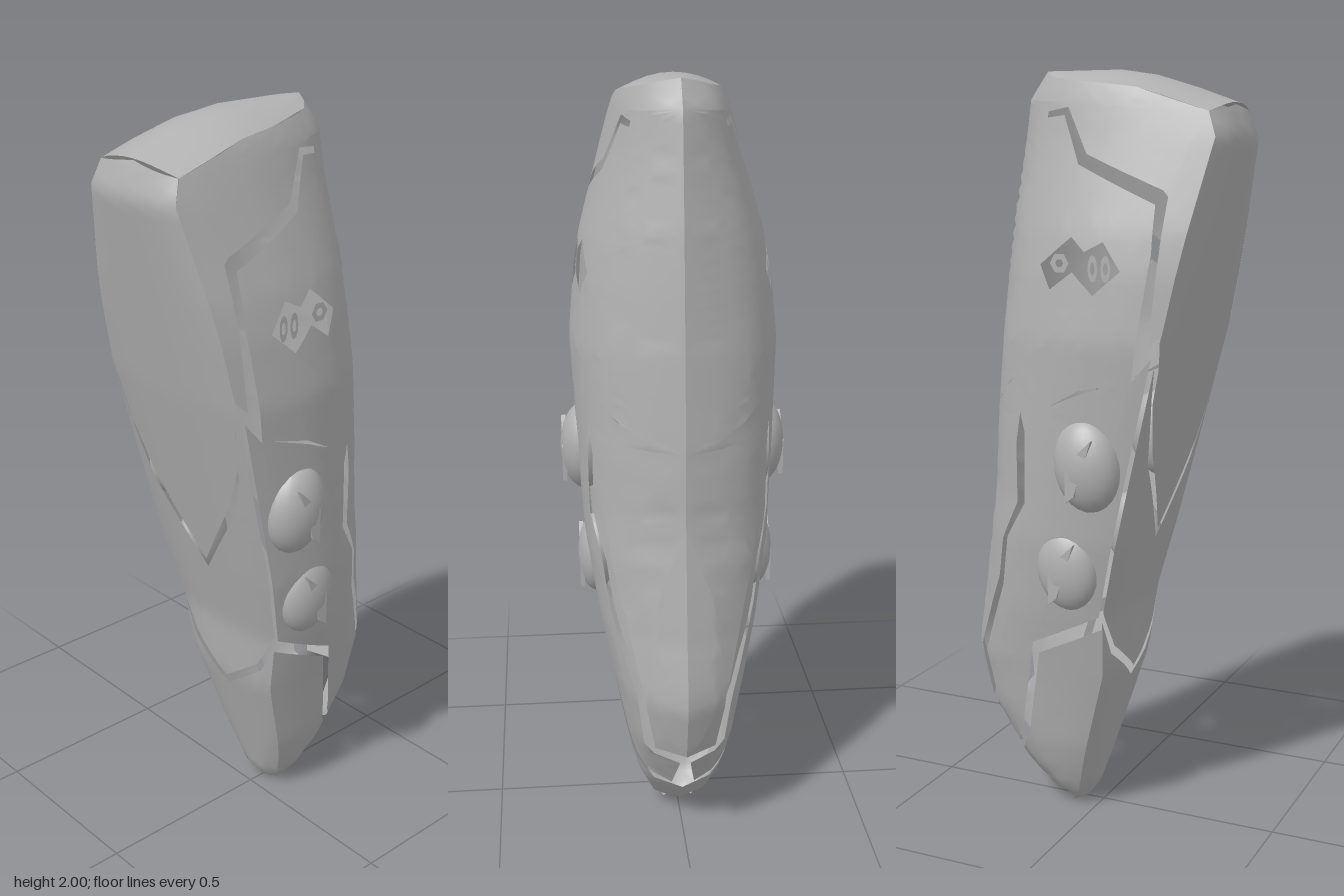
import * as THREE from 'three';
import { mergeVertices } from 'three/addons/utils/BufferGeometryUtils.js';

const shell = new THREE.MeshStandardMaterial({ color: 0xb0b0b0, side: THREE.DoubleSide });
shell.name = 'shell grey';

// Piecewise-linear lookup through [key, value] pairs
function lookup(table, k) {
  if (k <= table[0][0]) return table[0][1];
  for (let i = 1; i < table.length; i++) {
    const [a, va] = table[i - 1], [b, vb] = table[i];
    if (k <= b) return va + (vb - va) * (k - a) / (b - a);
  }
  return table[table.length - 1][1];
}

// Body profiles by height: half width, front line, rear ridge
const HALF = [[0, .045], [.02, .06], [.05, .08], [.12, .11], [.2, .135], [.4, .172], [.6, .213], [.8, .245],
  [1, .258], [1.2, .268], [1.33, .275], [1.5, .26], [1.6, .242], [1.8, .185], [1.88, .163], [1.93, .148], [1.97, .13], [2, .11]];
const FRONT = [[0, -.05], [.04, -.02], [.43, .095], [.6, .108], [1.33, .285], [1.83, .39], [1.9, .365], [2, .3]];
const BACK = [[0, -.07], [.04, -.15], [.13, -.24], [.24, -.31], [.28, -.345], [.44, -.385], [.62, -.35], [.9, -.31],
  [1.1, -.3], [1.35, -.28], [1.65, -.25], [1.93, -.21], [2, -.16]];
// Cross-section from rear ridge to front edge
const SECTION = [[0, 0], [.05, .32], [.14, .62], [.22, .76], [.32, .87], [.42, .94], [.55, .99], [.66, 1], [.8, .98], [.9, .95], [1, .9]];
const LIP = .025;

const halfWidth = y => lookup(HALF, y);
const frontZ = (x, y) => lookup(FRONT, y) - LIP * Math.pow(Math.min(1, Math.abs(x) / (.9 * halfWidth(y))), 3);
function sideX(z, y) {
  const back = lookup(BACK, y), front = lookup(FRONT, y) - LIP;
  return halfWidth(y) * lookup(SECTION, (z - back) / (front - back));
}

// Cut a flat outline with holes into small triangles, then bend it on to the body
function bentPanel(outline, holes, place, flip) {
  const toV = list => list.map(p => new THREE.Vector2(...p));
  const shape = new THREE.Shape(toV(outline));
  holes.forEach(h => shape.holes.push(new THREE.Path(toV(h))));
  const flat = new THREE.ShapeGeometry(shape);
  const p = flat.attributes.position, out = [];
  const idx = flat.index.array;
  const stack = [];
  for (let i = 0; i < idx.length; i += 3) {
    stack.push([0, 1, 2].map(k => [p.getX(idx[i + k]), p.getY(idx[i + k])]));
  }
  while (stack.length) {
    const t = stack.pop();
    const len = t.map((a, i) => Math.hypot(a[0] - t[(i + 1) % 3][0], a[1] - t[(i + 1) % 3][1]));
    const i = len.indexOf(Math.max(...len));
    if (len[i] > .05) {
      const a = t[i], b = t[(i + 1) % 3], c = t[(i + 2) % 3];
      const m = [(a[0] + b[0]) / 2, (a[1] + b[1]) / 2];
      stack.push([a, m, c], [m, b, c]);
    } else {
      (flip ? [t[0], t[2], t[1]] : t).forEach(q => out.push(...place(q[0], q[1])));
    }
  }
  return smooth(out);
}

function smooth(points) {
  let g = new THREE.BufferGeometry();
  g.setAttribute('position', new THREE.Float32BufferAttribute(points, 3));
  g = mergeVertices(g, 1e-4);
  g.computeVertexNormals();
  return g;
}

// Side outlines as [z, y], with the channels cut in from the edges
const SIDE = [[-.16, 2], [-.1, 1.98], [.15, 1.95], [.342, 1.89], [.365, 1.83], [.267, 1.36],
  [.235, 1.33], [.265, 1.69], [.25, 1.705], [.035, 1.79], [-.035, 1.905], [-.1, 1.895], [-.1, 1.88], [-.045, 1.885],
  [.015, 1.765], [.235, 1.67], [.235, 1.55], [.19, 1.24], [.24, 1.3],
  [.075, .605], [-.12, .51], [-.185, .24], [-.24, .145], [-.305, .24], [-.275, .29], [-.3, .44], [-.21, .66],
  [-.185, .8], [-.12, .9], [-.115, 1.09], [-.13, 1.14], [-.145, 1.06], [-.145, .9], [-.205, .79], [-.225, .68],
  [-.325, .45], [-.305, .29], [-.345, .28], [-.385, .44], [-.35, .62], [-.31, .9], [-.3, 1.1], [-.28, 1.35], [-.25, 1.65], [-.21, 1.93]];
const PORT = [[.16, 1.51], [.11, 1.58], [.06, 1.555], [.02, 1.59], [-.07, 1.52], [-.035, 1.46], [.03, 1.505], [.09, 1.45]];
const SLIT = [[.16, 1.238], [.05, 1.212], [-.035, 1.165], [.05, 1.202]];
const CHIN = [[.081, .57], [.07, .43], [-.045, .04], [-.06, 0], [-.07, 0], [-.15, .04], [-.23, .12], [-.165, .22], [-.105, .48]];

// Front outlines as right-hand halves [x, y], top to bottom
const edge = y => [.9 * halfWidth(y), y];
const FRONTS = {
  frontUpperPanel: [[0, 1.91], edge(1.89), edge(1.83), edge(1.6), edge(1.5), edge(1.34), [.225, 1.27], [.215, 1.18], [.155, 1.04], [0, .81]],
  frontMiddlePanel: [[0, .785], [.17, 1.02], [.225, 1.2], edge(1.28), edge(1.2), edge(1), edge(.8), edge(.62), [.13, .51], [0, .412]],
  frontChinPanel: [[0, .385], [.14, .49], edge(.59), edge(.4), edge(.2), edge(.12), edge(.05), edge(.02), edge(0), [0, 0]],
};

export function createModel() {
  const model = new THREE.Group();
  model.name = 'armouredPod';
  const add = (parent, name, geometry) => {
    const m = new THREE.Mesh(geometry, shell);
    m.name = name;
    parent.add(m);
    return m;
  };

  // Front panels, divided by V-shaped channels
  for (const [name, half] of Object.entries(FRONTS)) {
    const mirror = half.filter(p => p[0] > 0).map(([x, y]) => [-x, y]).reverse();
    add(model, name, bentPanel([...half, ...mirror], [], (x, y) => [x, y, frontZ(x, y)], false));
  }

  // Crowned top cap between the two side rims
  const RIM = [[-.16, 2, 2], [-.13, 1.99, 2], [-.1, 1.98, 2], [.05, 1.962, 2], [.15, 1.95, 1.985], [.25, 1.92, 1.955], [.342, 1.89, 1.915]];
  const cap = [], n = 8;
  const capPoint = (i, j) => {
    const [z, y, top] = RIM[i], u = j / n * 2 - 1;
    const front = i === RIM.length - 1 ? LIP * (1 - Math.abs(u) ** 3) * .8 : 0;
    return [u * sideX(z, y), y + (top - y) * (1 - u * u), z + front];
  };
  for (let i = 0; i < RIM.length - 1; i++) for (let j = 0; j < n; j++) {
    const a = capPoint(i, j), b = capPoint(i + 1, j), c = capPoint(i + 1, j + 1), d = capPoint(i, j + 1);
    cap.push(...a, ...b, ...c, ...a, ...c, ...d);
  }
  add(model, 'topCap', smooth(cap));

  for (const s of [1, -1]) {
    const side = new THREE.Group();
    side.name = s > 0 ? 'leftSide' : 'rightSide';
    model.add(side);
    const place = (z, y) => [s * sideX(z, y), y, z];
    add(side, 'sidePanel', bentPanel(SIDE, [PORT, SLIT], place, s > 0));
    add(side, 'chinSidePanel', bentPanel(CHIN, [], place, s > 0));

    // Fittings inside the twin diamond port
    const fitting = (name, z, y, inner, outer, sides, stretch) => {
      const m = add(side, name, new THREE.RingGeometry(inner, outer, sides));
      m.scale.y = stretch;
      m.rotation.y = s * Math.PI / 2;
      m.position.set(s * (sideX(z, y) - .004), y, z);
    };
    fitting('portSlotFront', .12, 1.515, .006, .013, 12, 2.6);
    fitting('portSlotRear', .085, 1.515, .006, .013, 12, 2.6);
    fitting('portHexRing', -.012, 1.525, .011, .026, 6, 1);

    // Domed oval knobs with a raised pointer
    for (const [name, z, y, rz, ry, x0, rx] of [
      ['upperKnob', .065, 1.02, .09, .122, .24, .065], ['lowerKnob', -.005, .735, .085, .112, .215, .05]]) {
      const knob = new THREE.Group();
      knob.name = name;
      knob.position.set(s * x0, y, z);
      knob.rotation.x = -.12;
      side.add(knob);
      const dome = add(knob, 'knobDome', new THREE.SphereGeometry(1, 24, 14));
      dome.scale.set(rx, ry, rz);
      const tri = new THREE.Shape([[.045, .07], [-.035, .01], [-.045, -.085], [-.02, -.07]].map(p => new THREE.Vector2(...p)));
      const pointer = add(knob, 'knobPointer', new THREE.ExtrudeGeometry(tri, { depth: .012, bevelEnabled: false }));
      // Shape x runs along z, extrusion runs sideways
      pointer.rotation.y = -Math.PI / 2;
      pointer.position.x = s > 0 ? rx - .004 : -(rx - .016);
    }
  }
  return model;
}
